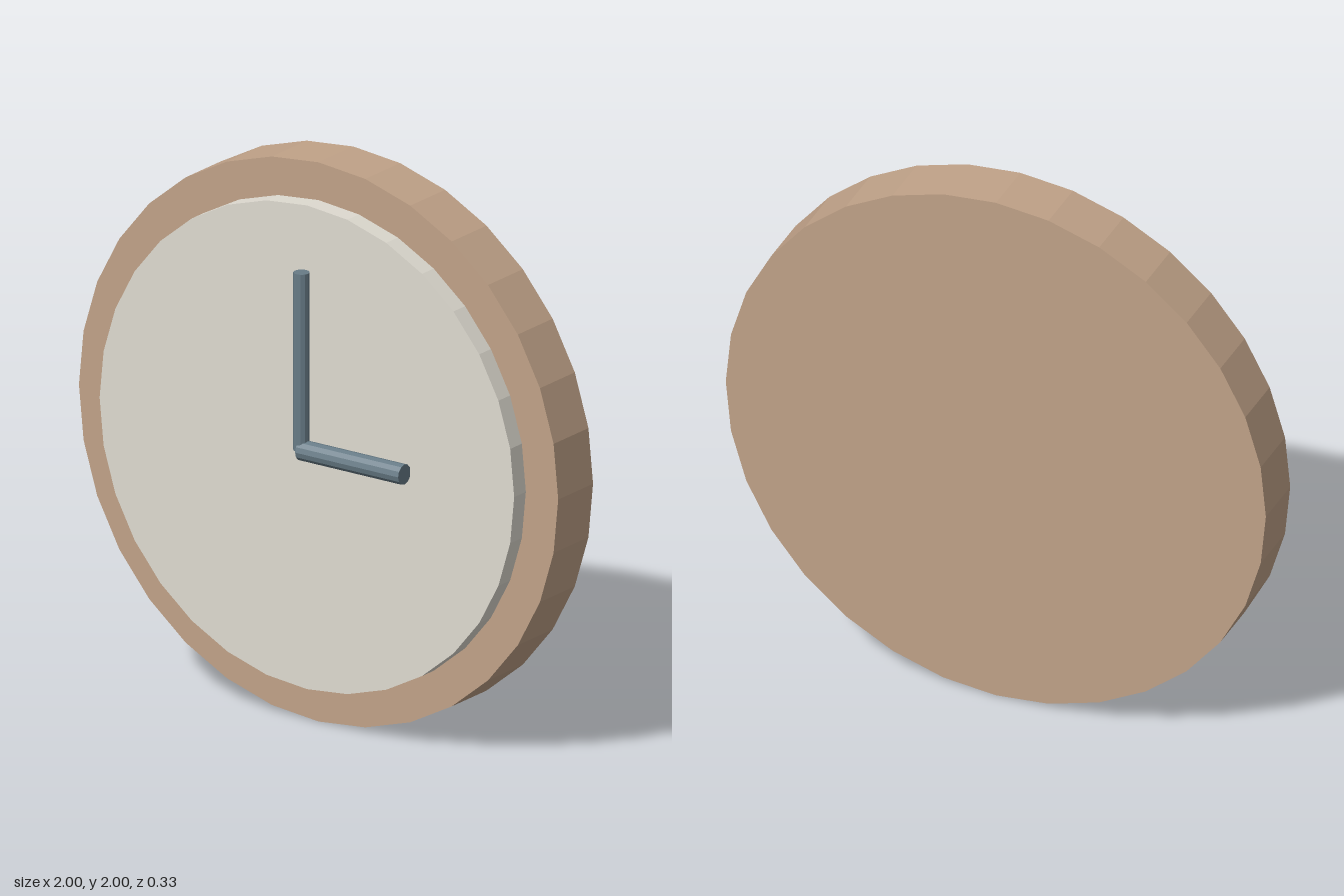
import * as THREE from 'three';

const material = (name, color) => {
  const m = new THREE.MeshStandardMaterial({ color });
  m.name = name;
  m.flatShading = true;
  return m;
};

export function createModel() {
  const clock = new THREE.Group();
  clock.name = 'wallClock';

  const wood = material('warm wood', 0xc0a288);
  const ivory = material('ivory', 0xdedad0);
  const slate = material('slate', 0x687c87);

  const addRod = (name, radius, length, sides, mat) => {
    const mesh = new THREE.Mesh(new THREE.CylinderGeometry(radius, radius, length, sides), mat);
    mesh.name = name;
    clock.add(mesh);
    return mesh;
  };

  // Round case and raised dial, axes along z
  const wallCase = addRod('case', 1, 0.2, 32, wood);
  wallCase.rotation.x = Math.PI / 2;
  wallCase.position.set(0, 1, -0.067);

  const dial = addRod('dial', 0.865, 0.067, 32, ivory);
  dial.rotation.x = Math.PI / 2;
  dial.position.set(0, 1, 0.0665);

  // Hands meet at the centre, showing three o'clock
  const minuteHand = addRod('minuteHand', 0.028, 0.635, 12, slate);
  minuteHand.position.set(0, 1.3175, 0.131);

  const hourHand = addRod('hourHand', 0.036, 0.43, 12, slate);
  hourHand.rotation.z = -Math.PI / 2;
  hourHand.position.set(0.215, 1, 0.132);

  return clock;
}
